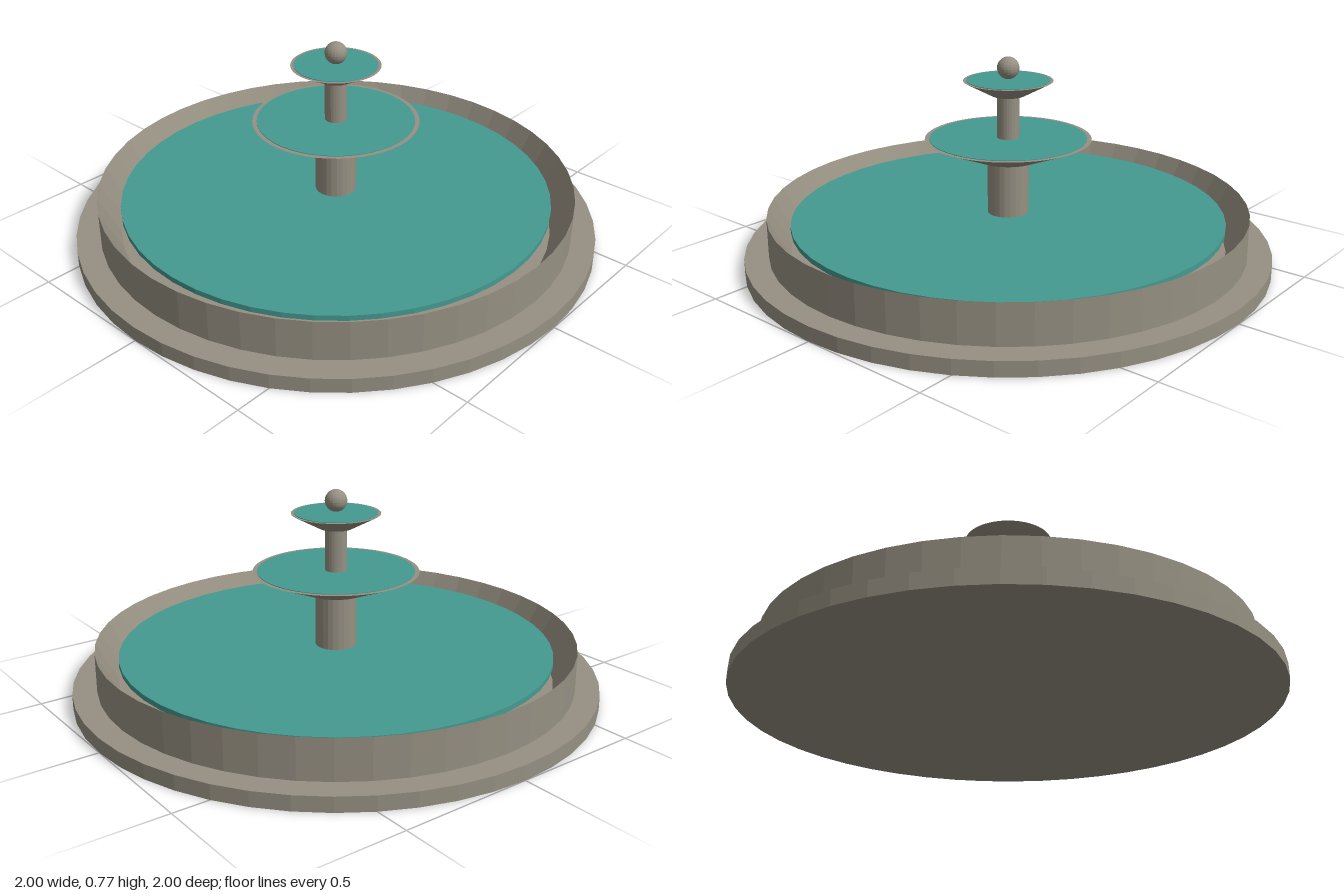
import * as THREE from 'three';

export function createModel() {
  const fountain = new THREE.Group();
  fountain.name = 'fountain';

  const stone = new THREE.MeshStandardMaterial({ color: 0x969082 });
  stone.name = 'stone';
  stone.flatShading = true;
  const water = new THREE.MeshStandardMaterial({ color: 0x459a91 });
  water.name = 'water';
  water.flatShading = true;

  const add = (name, geometry, material, y = 0) => {
    const mesh = new THREE.Mesh(geometry, material);
    mesh.name = name;
    mesh.position.y = y;
    fountain.add(mesh);
  };
  // Upright round part between two heights
  const round = (name, material, rTop, rBottom, y0, y1, sides) =>
    add(name, new THREE.CylinderGeometry(rTop, rBottom, y1 - y0, sides), material, (y0 + y1) / 2);

  // Plinth and basin wall, sloped on the inside
  round('plinth', stone, 1, 1, 0, 0.055, 48);
  const wall = [[0.91, 0.055], [0.91, 0.205], [0.83, 0.055]];
  add('basinWall', new THREE.LatheGeometry(wall.map(([r, y]) => new THREE.Vector2(r, y)), 48), stone);
  round('basinWater', water, 0.825, 0.825, 0.145, 0.165, 48);

  // Two tiers: column, flared dish and thin water disc
  const tiers = [
    { name: 'lower', column: 0.079, from: 0.055, base: 0.38, top: 0.459, foot: 0.122, rim: 0.315, pool: 0.298 },
    { name: 'upper', column: 0.042, from: 0.459, base: 0.625, top: 0.681, foot: 0.064, rim: 0.168, pool: 0.156 },
  ];
  for (const t of tiers) {
    round(t.name + 'Column', stone, t.column, t.column, t.from, t.base, 24);
    round(t.name + 'Dish', stone, t.rim, t.foot, t.base, t.top, 48);
    round(t.name + 'DishWater', water, t.pool, t.pool, t.top - 0.002, t.top + 0.002, 48);
  }

  // Ball on top
  add('finial', new THREE.SphereGeometry(0.042, 20, 14), stone, 0.728);

  return fountain;
}
